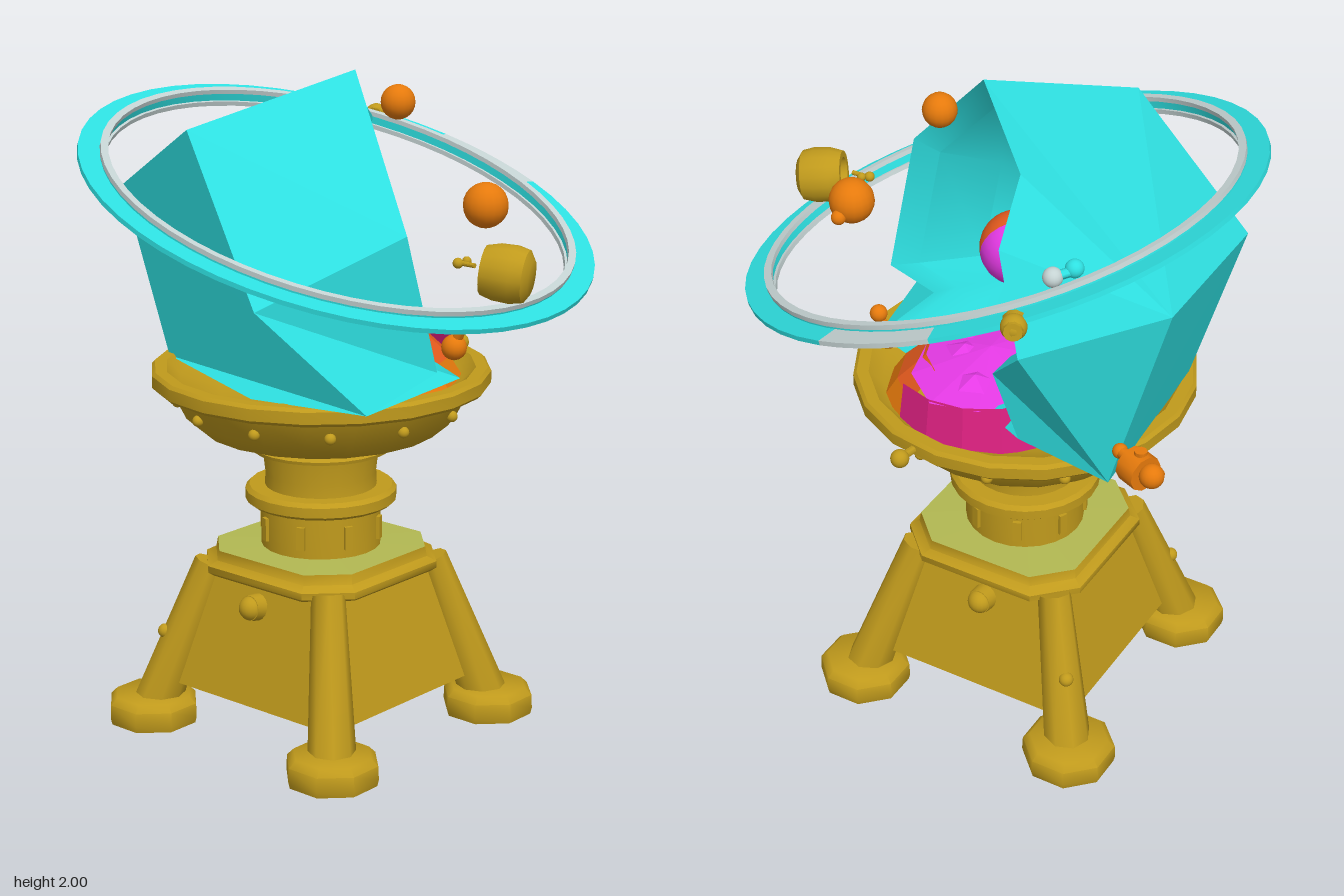
import * as THREE from 'three';
import { toCreasedNormals } from 'three/addons/utils/BufferGeometryUtils.js';

const mat = (name, color) => Object.assign(new THREE.MeshStandardMaterial({ color, side: THREE.DoubleSide }), { name });
const V = (p) => new THREE.Vector3(...p);

// Skin joining loops that all have the same number of points
function loft(loops, crease = 0) {
  const pos = [];
  const n = loops[0].length;
  for (let k = 0; k < loops.length - 1; k++) {
    for (let i = 0; i < n; i++) {
      const j = (i + 1) % n;
      const [a, b, c, d] = [loops[k][i], loops[k][j], loops[k + 1][j], loops[k + 1][i]];
      for (const tri of [[a, b, c], [a, c, d]]) {
        const [p, q, r] = tri.map(V);
        if (q.sub(p).cross(r.sub(p)).length() > 1e-7) pos.push(...tri.flat());
      }
    }
  }
  const g = new THREE.BufferGeometry();
  g.setAttribute('position', new THREE.Float32BufferAttribute(pos, 3));
  g.computeVertexNormals();
  return crease ? toCreasedNormals(g, crease) : g;
}

// Square outline with cut corners
const cutSquare = (w, c, y) => [[w, w - c], [w, c - w], [w - c, -w], [c - w, -w], [-w, c - w], [-w, w - c], [c - w, w], [w - c, w]]
  .map(([x, z]) => [x, y, z]);

const lathe = (pts, seg = 24, start = 0, len = Math.PI * 2, crease = 0.65) =>
  toCreasedNormals(new THREE.LatheGeometry(pts.map((p) => new THREE.Vector2(...p)), seg, start, len), crease);

export function createModel() {
  const model = new THREE.Group();
  const gold = mat('gold', 0xc09a1c);
  const olive = mat('olive', 0xb2b852);
  const teal = mat('teal', 0x2ee0e1);
  const grey = mat('pale grey', 0xc5d3d3);
  const orange = mat('orange', 0xe67a0c);
  const redOrange = mat('red orange', 0xe85c1e);
  const magenta = mat('magenta', 0xe63ae6);
  const crimson = mat('crimson', 0xdc2080);

  const add = (name, geo, material, p = [0, 0, 0], parent = model) => {
    const m = new THREE.Mesh(geo, material);
    m.name = name;
    m.position.set(...p);
    parent.add(m);
    return m;
  };
  const ball = (name, r, material, p, parent) => add(name, new THREE.SphereGeometry(r, 18, 12), material, p, parent);
  const rod = (name, a, b, r0, r1, material, parent, sides = 10) => {
    const d = V(b).sub(V(a));
    const geo = toCreasedNormals(new THREE.CylinderGeometry(r1, r0, d.length(), sides), 0.8);
    const m = add(name, geo, material, V(a).add(V(b)).multiplyScalar(0.5).toArray(), parent);
    m.quaternion.setFromUnitVectors(new THREE.Vector3(0, 1, 0), d.normalize());
    return m;
  };

  // Pedestal, set slightly back
  const stand = new THREE.Group();
  stand.name = 'pedestal';
  stand.position.z = -0.07;
  model.add(stand);
  const point = (y) => Array(8).fill([0, y, 0]);
  add('pedestalBody', loft([point(0.13), cutSquare(0.345, 0.035, 0.13), cutSquare(0.25, 0.06, 0.49)]), gold, [0, 0, 0], stand);
  add('pedestalCap', loft([point(0.48), cutSquare(0.285, 0.11, 0.48), cutSquare(0.297, 0.11, 0.49), cutSquare(0.297, 0.11, 0.51),
    cutSquare(0.272, 0.1, 0.525), cutSquare(0.268, 0.1, 0.555)], 0.9), gold, [0, 0, 0], stand);
  add('pedestalDeck', loft([cutSquare(0.268, 0.1, 0.555), point(0.562)]), olive, [0, 0, 0], stand);

  // Legs and feet
  for (const sx of [-1, 1]) for (const sz of [-1, 1]) {
    rod('leg', [sx * 0.355, 0.05, sz * 0.355], [sx * 0.235, 0.5, sz * 0.235], 0.072, 0.05, gold, stand, 8);
    add('foot', lathe([[0, 0], [0.136, 0], [0.141, 0.02], [0.139, 0.062], [0.118, 0.083], [0, 0.083]], 8, Math.PI / 8, Math.PI * 2, 0.9),
      gold, [sx * 0.363, 0, sz * 0.363], stand);
    if (sz < 0) ball('legStud', 0.022, gold, [sx * 0.335, 0.28, sz * 0.335], stand);
  }
  for (const s of [-1, 1]) {
    rod('sideButton', [s * 0.24, 0.41, -0.015], [s * 0.305, 0.42, -0.015], 0.043, 0.038, gold, stand, 16);
    ball('sideButtonCap', 0.037, gold, [s * 0.295, 0.418, -0.015], stand);
  }

  // Column with collars, and the dish
  add('column', lathe([[0.18, 0.55], [0.18, 0.69], [0.215, 0.69], [0.227, 0.7], [0.227, 0.73], [0.215, 0.742], [0.168, 0.742],
    [0.166, 0.78], [0.175, 0.855], [0.21, 0.856], [0.213, 0.866], [0.18, 0.875], [0.2, 0.92]]), gold, [0, 0, 0], stand);
  add('dish', lathe([[0, 0.91], [0.32, 0.91], [0.355, 0.922], [0.405, 0.965], [0.445, 1.045], [0.495, 1.055], [0.505, 1.065],
    [0.505, 1.1], [0.495, 1.11], [0.46, 1.11], [0.42, 1.07], [0.3, 1.03], [0, 1.02]], 20), gold, [0, 0, 0], stand);
  for (let i = 0; i < 12; i++) {
    const a = (i + 0.5) * Math.PI / 6;
    ball('dishRivet', 0.017, gold, [0.425 * Math.sin(a), 1.0, 0.425 * Math.cos(a)], stand);
  }
  for (let i = 0; i < 8; i++) {
    const a = (i + 0.5) * Math.PI / 4;
    const slot = add('columnSlot', new THREE.BoxGeometry(0.025, 0.07, 0.016), gold, [0.181 * Math.sin(a), 0.62, 0.181 * Math.cos(a)], stand);
    slot.rotation.y = a;
  }
  rod('dishLever', [0.47, 1.08, 0.08], [0.55, 1.085, 0.09], 0.012, 0.012, gold, stand);
  ball('dishLeverKnob', 0.027, gold, [0.55, 1.085, 0.09], stand);

  // Faceted broken shell: back points, outer corners, then the rim of the break
  const [n1, n3] = [[-0.24, 1.61, -0.645], [-0.2, 1.1, -0.5]];
  const [e, g, h] = [[-0.4, 1.13, 0.45], [0.39, 1.73, -0.73], [0.38, 1.11, -0.55]];
  const back = [n1, n1, n3, n3, n3, n3, n3, n1, n1, n1, n1];
  const outer = [[-0.43, 1.85, -0.19], [-0.6, 1.42, 0.22], e, e, [-0.4, 1.1, 0.02], n3, h, h, g, g, g];
  const rim = [[-0.02, 2, 0.08], [-0.22, 1.6, 0.44], [-0.12, 1.2, 0.47], [-0.06, 1.2, 0.28], [0.11, 1.12, 0.37], [0.2, 1.08, 0],
    [0.39, 1.16, -0.27], [0.41, 1.37, -0.2], [0.55, 1.56, -0.36], [0.41, 1.78, -0.22], [0.26, 1.93, -0.2]];
  add('planetShell', loft([back, outer, rim]), teal);

  // Hollow inside the shell
  const mid = [0.17, 1.5, 0.03], depth = [-0.34, 0.01, -0.36];
  const hollow = [[1, 0], [0.87, 0.12], [0.73, 0.45], [0.52, 0.78], [0.25, 0.96], [0, 1]]
    .map(([s, t]) => rim.map((p) => p.map((v, i) => mid[i] + (v - mid[i]) * s + depth[i] * t)));
  add('planetHollow', loft(hollow, 0.9), teal);

  // Two-tone core ball
  const half = new THREE.SphereGeometry(0.108, 24, 10, 0, Math.PI * 2, 0, Math.PI / 2);
  [[redOrange, 1], [magenta, -1]].forEach(([m, s]) => {
    const part = add('coreBall', half, m, [0, 1.5, -0.04]);
    part.quaternion.setFromUnitVectors(new THREE.Vector3(0, 1, 0), new THREE.Vector3(-0.72, 0.25, 0.66).normalize().multiplyScalar(s));
  });

  // Molten mass lying in the dish, in bands from orange up to magenta
  const flat = (geo) => {
    const f = geo.toNonIndexed();
    f.computeVertexNormals();
    return f;
  };
  const side = (r1, r0, y0, y1, start, len) =>
    flat(new THREE.CylinderGeometry(r1, r0, y1 - y0, 4, 1, true, start, len).translate(0.13, (y0 + y1) / 2, -0.01));
  add('moltenLowFront', side(0.255, 0.31, 1.04, 1.125, -0.9, 2.0), orange);
  add('moltenFront', side(0.17, 0.255, 1.125, 1.205, -0.9, 2.0), redOrange);
  add('moltenSide', side(0.275, 0.295, 1.05, 1.2, 1.1, 1.55), crimson);
  const top = add('moltenTop', flat(new THREE.ConeGeometry(0.285, 0.04, 9)), magenta, [0.13, 1.213, -0.03]);
  top.scale.z = 0.72;
  [[0.07, 0.09, 0.09, 0.09], [0.16, 0.04, 0.055, 0.12], [0.27, -0.06, 0.05, 0.12]].forEach(([x, z, y, r]) =>
    add('moltenPeak', flat(new THREE.ConeGeometry(r, y, 5)), magenta, [x, 1.18 + y / 2, z]));

  // Tilted ring: flat disc with one pale section, and two pale hoops inside it
  const ring = new THREE.Group();
  ring.name = 'orbitRing';
  ring.position.set(0, 1.61, 0);
  ring.rotation.x = 0.325;
  model.add(ring);
  const band = (r0, r1, y0, y1) => [[r0, y0], [r1, y0], [r1, y1], [r0, y1], [r0, y0]];
  const disc = band(0.703, 0.768, -0.007, 0.007);
  const [from, span] = [Math.PI / 2 - 0.18, 0.46];
  add('outerRing', lathe(disc, 48, from + span, Math.PI * 2 - span), teal, [0, 0, 0], ring);
  add('outerRingPaleSection', lathe(disc, 5, from, span), grey, [0, 0, 0], ring);
  for (const y of [-0.02, 0.02]) add('innerHoop', lathe(band(0.684, 0.706, y - 0.007, y + 0.007), 56), grey, [0, 0, 0], ring);
  add('innerRingWeb', lathe(band(0.692, 0.704, -0.014, 0.014), 56), teal, [0, 0, 0], ring);

  // Small orbiting bodies
  ball('upperMoon', 0.05, orange, [0.05, 1.91, 0.18]);
  ball('frontMoon', 0.066, orange, [0.185, 1.62, 0.395]);
  ball('frontMoonNub', 0.022, orange, [0.247, 1.595, 0.4]);
  ball('lowMoon', 0.038, orange, [0.18, 1.185, 0.29]);
  rod('lowMoonStem', [0.18, 1.19, 0.29], [0.18, 1.25, 0.32], 0.015, 0.015, orange);
  ball('lowMoonTip', 0.026, orange, [0.18, 1.255, 0.32]);
  ball('ringMoon', 0.036, gold, [0.64, 1.735, -0.4]);
  rod('ringMoonBand', [0.61, 1.73, -0.385], [0.67, 1.74, -0.415], 0.034, 0.026, gold);
  ball('paleMoon', 0.028, grey, [0.455, 1.785, -0.41]);
  ball('tealMoon', 0.026, teal, [0.41, 1.8, -0.45]);
  rod('tealMoonStem', [0.455, 1.785, -0.41], [0.41, 1.8, -0.46], 0.014, 0.014, teal);

  // Rear probe: hub, cross arm and end caps
  rod('probeAxle', [0.4, 1.25, -0.59], [0.45, 1.25, -0.74], 0.018, 0.022, orange);
  rod('probeHub', [0.425, 1.245, -0.64], [0.45, 1.245, -0.7], 0.052, 0.052, orange);
  ball('probeTip', 0.035, orange, [0.455, 1.25, -0.72]);
  rod('probeArm', [0.435, 1.19, -0.675], [0.435, 1.305, -0.675], 0.018, 0.018, orange);
  ball('probeNub', 0.022, orange, [0.4, 1.25, -0.595]);

  // Hollow barrel at the front, mouth facing back
  const barrel = add('barrel', lathe([[0, -0.07], [0.05, -0.07], [0.074, -0.055], [0.082, -0.02], [0.08, 0.03], [0.07, 0.065],
    [0.05, 0.065], [0.042, -0.02], [0, -0.03]], 16), gold, [-0.05, 1.5, 0.655]);
  barrel.quaternion.setFromUnitVectors(new THREE.Vector3(0, 1, 0), new THREE.Vector3(-0.4, 0.1, -0.9).normalize());
  rod('barrelSpark', [-0.085, 1.515, 0.51], [-0.085, 1.515, 0.57], 0.007, 0.007, gold);
  ball('barrelSparkTip', 0.015, gold, [-0.09, 1.515, 0.515]);
  ball('barrelSparkSide', 0.013, gold, [-0.07, 1.52, 0.53]);

  return model;
}
